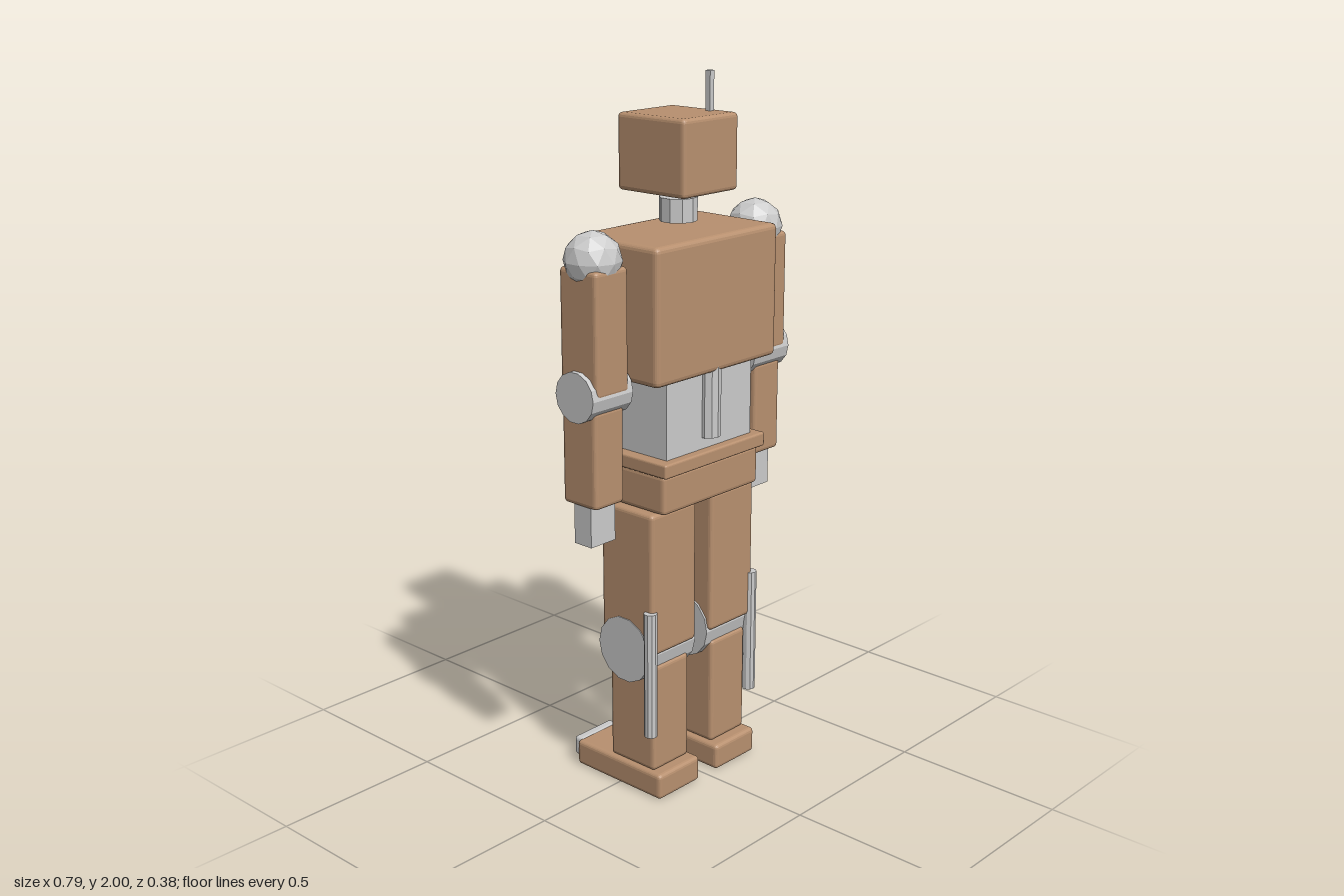
import * as THREE from 'three';
import { RoundedBoxGeometry } from 'three/addons/geometries/RoundedBoxGeometry.js';

const BROWN = new THREE.MeshStandardMaterial({ color: 0xb8906f, flatShading: true });
const GREY = new THREE.MeshStandardMaterial({ color: 0xcccccc, flatShading: true });
const AMBER = new THREE.MeshStandardMaterial({ color: 0xe0983a, flatShading: true });

export function createModel() {
  const model = new THREE.Group();
  model.name = 'robot';

  const add = (parent, name, geometry, material, x, y, z) => {
    const mesh = new THREE.Mesh(geometry, material);
    mesh.name = name;
    mesh.position.set(x, y, z);
    parent.add(mesh);
    return mesh;
  };

  // Box given by its extents; bevel 0 leaves the edges sharp
  const box = (parent, name, material, [x0, x1], [y0, y1], [z0, z1], bevel = 0.012) => {
    const size = [x1 - x0, y1 - y0, z1 - z0];
    const geometry = bevel
      ? new RoundedBoxGeometry(...size, 2, bevel)
      : new THREE.BoxGeometry(...size);
    return add(parent, name, geometry, material, (x0 + x1) / 2, (y0 + y1) / 2, (z0 + z1) / 2);
  };

  // Cylinder along the chosen axis, centred on the given point
  const rod = (parent, name, material, axis, radius, length, sides, x, y, z) => {
    const geometry = new THREE.CylinderGeometry(radius, radius, length, sides);
    if (axis === 'x') geometry.rotateZ(Math.PI / 2);
    if (axis === 'z') geometry.rotateX(Math.PI / 2);
    return add(parent, name, geometry, material, x, y, z);
  };

  // Head, with its single eye on the -z side
  const head = new THREE.Group();
  head.name = 'head';
  model.add(head);
  box(head, 'skull', BROWN, [-0.108, 0.108], [1.69, 1.895], [-0.081, 0.157]);
  box(head, 'antenna', GREY, [0.068, 0.084], [1.88, 2.0], [0.074, 0.09], 0);
  rod(head, 'eye', AMBER, 'z', 0.048, 0.06, 10, 0, 1.803, -0.084);
  rod(model, 'neck', GREY, 'y', 0.052, 0.064, 10, 0, 1.641, 0.04);

  // Trunk
  box(model, 'chest', BROWN, [-0.242, 0.242], [1.217, 1.587], [-0.111, 0.187], 0.015);
  box(model, 'abdomen', GREY, [-0.172, 0.172], [1.0, 1.225], [-0.07, 0.156], 0);
  rod(model, 'backPipe', GREY, 'y', 0.032, 0.2, 10, 0, 1.132, 0.155);
  box(model, 'belt', BROWN, [-0.205, 0.205], [0.96, 1.0], [-0.095, 0.183], 0.006);
  box(model, 'hips', BROWN, [-0.195, 0.195], [0.85, 0.962], [-0.083, 0.167]);

  // Icosphere turned so that a vertex points straight up
  const ball = new THREE.IcosahedronGeometry(0.078, 1);
  ball.rotateZ(-Math.atan(2 / (1 + Math.sqrt(5))));

  for (const side of [-1, 1]) {
    const label = side > 0 ? 'left' : 'right';
    const span = (inner, outer) => side > 0 ? [inner, outer] : [-outer, -inner];

    // Arm
    const arm = new THREE.Group();
    arm.name = label + 'Arm';
    model.add(arm);
    add(arm, 'shoulder', ball, GREY, side * 0.322, 1.55, 0.038);
    box(arm, 'upperArm', BROWN, span(0.262, 0.382), [1.2, 1.535], [-0.027, 0.107]);
    rod(arm, 'elbow', GREY, 'x', 0.069, 0.148, 14, side * 0.323, 1.2, 0.039);
    box(arm, 'forearm', BROWN, span(0.268, 0.377), [0.895, 1.165], [-0.03, 0.093]);
    box(arm, 'hand', GREY, span(0.276, 0.367), [0.783, 0.91], [0.002, 0.064], 0);

    // Leg
    const leg = new THREE.Group();
    leg.name = label + 'Leg';
    model.add(leg);
    box(leg, 'thigh', BROWN, span(0.031, 0.212), [0.435, 0.848], [-0.053, 0.139]);
    rod(leg, 'knee', GREY, 'x', 0.096, 0.19, 14, side * 0.12, 0.43, 0.034);
    box(leg, 'shin', BROWN, span(0.049, 0.195), [0.075, 0.395], [-0.04, 0.128]);
    rod(leg, 'strut', GREY, 'y', 0.019, 0.37, 10, side * 0.211, 0.381, 0.132);
    box(leg, 'foot', BROWN, span(0.036, 0.206), [0, 0.076], [-0.168, 0.161]);
    box(leg, 'toeCap', GREY, span(0.047, 0.196), [0.02, 0.078], [-0.19, -0.155], 0.01);
  }

  return model;
}
